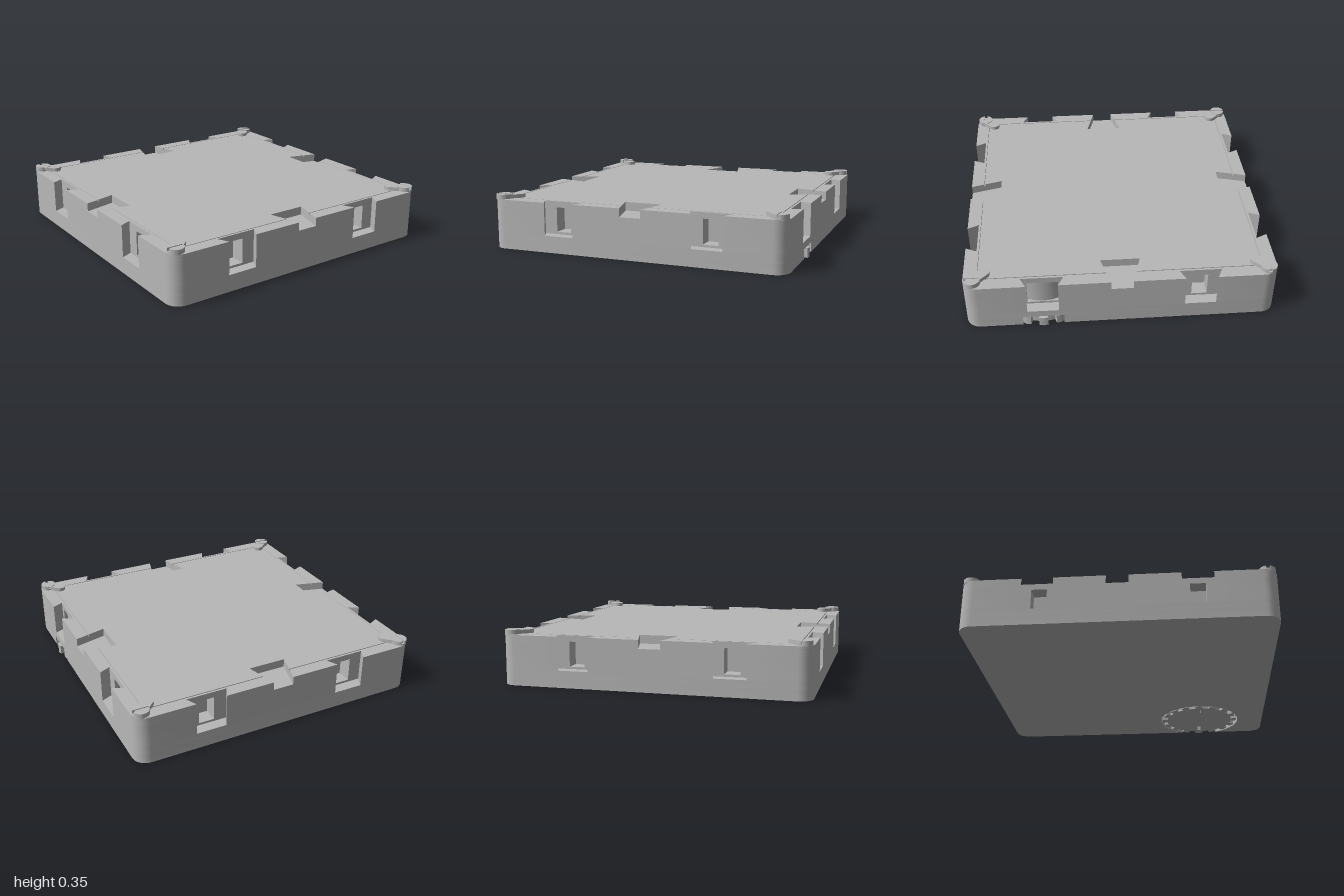
import * as THREE from 'three';
import { toCreasedNormals } from 'three/addons/utils/BufferGeometryUtils.js';

const S = 0.99;          // half width of the tile
const R = 0.09;          // corner radius
const CAP = { x: 0.72, y: -0.5 }; // battery cap centre in plan (plan y = -z)

const turn = ([x, y], k) => {
  for (let i = 0; i < k; i++) [x, y] = [-y, x];
  return [x, y];
};
const toShape = (pts) => new THREE.Shape(pts.map(([x, y]) => new THREE.Vector2(x, y)));

// Points (u along the side, d inward) of one dovetail socket, with an optional window pocket
function socket(u, { pocket, round }) {
  const pts = [[-0.1, 0], [-0.135, 0.073]];
  if (pocket && round) {
    // wide window with the convex battery drum behind it
    pts.push([-0.1, 0.073]);
    for (let i = 0; i <= 10; i++) {
      const a = -0.1 + 0.02 * i;
      pts.push([a, 0.078 + 0.22 - Math.sqrt(0.22 * 0.22 - a * a)]);
    }
    pts.push([0.1, 0.073]);
  } else if (pocket) {
    pts.push([-0.05, 0.073], [-0.05, 0.17], [0.05, 0.17], [0.05, 0.073]);
  }
  pts.push([0.135, 0.073], [0.1, 0]);
  return pts.map(([a, d]) => [u + a, d]);
}

// Arc where the battery cap breaks through the right side
function capBite() {
  const pts = [], a = 0.451;
  for (let i = 0; i <= 40; i++) {
    const t = -a - (2 * Math.PI - 2 * a) * i / 40;
    pts.push([CAP.y + 0.3 * Math.sin(t), S - CAP.x - 0.3 * Math.cos(t)]);
  }
  return pts;
}

function corner(k) {
  const pts = [];
  for (let i = 0; i <= 8; i++) {
    const t = -Math.PI / 2 + Math.PI / 2 * i / 8;
    pts.push(turn([S - R + R * Math.cos(t), -(S - R) + R * Math.sin(t)], k));
  }
  return pts;
}
const place = (pts, k) => pts.map(([u, d]) => turn([u, d - S], k));

// Complete plan outline of one layer
function outline({ sockets, pocket, mid, bite }) {
  const all = [];
  for (let k = 0; k < 4; k++) {
    const side = [];
    if (bite && k === 1) side.push(...capBite());
    if (sockets) side.push(...socket(-0.5, { pocket, round: k === 1 }));
    if (mid) side.push([-0.07, 0], [-0.127, 0.21], [0.127, 0.21], [0.07, 0]);
    if (sockets) side.push(...socket(0.5, { pocket }));
    all.push(...place(side, k), ...corner(k));
  }
  return toShape(all);
}

// One corner piece of the top rim
function rimPiece(k) {
  const e = 0.087, w = 0.07 + 0.057 * e / 0.21;
  return toShape([
    ...place([[w, e], [0.07, 0], ...socket(0.5, {})], k),
    ...corner(k),
    ...place([...socket(-0.5, {}), [-0.07, 0], [-w, e], [-(S - e), e]], k + 1),
  ]);
}

// Inset lid with the four middle sockets cut out
function lidShape() {
  const e = 0.093, w = 0.07 + 0.057 * e / 0.21, pts = [];
  for (let k = 0; k < 4; k++) {
    pts.push(...place([[-w, e], [-0.127, 0.21], [0.127, 0.21], [w, e], [S - e, e]], k));
  }
  return toShape(pts);
}

// Toothed battery cap
function capShape() {
  const pts = [], n = 16;
  for (let i = 0; i < n; i++) {
    for (const [f, r] of [[-0.26, 0.25], [-0.26, 0.285], [0, 0.29], [0.26, 0.285], [0.26, 0.25], [0.5, 0.25]]) {
      const t = (i + f) * 2 * Math.PI / n;
      pts.push([CAP.x + r * Math.cos(t), CAP.y + r * Math.sin(t)]);
    }
  }
  return toShape(pts);
}

export function createModel() {
  const model = new THREE.Group();
  model.name = 'squareTile';
  const grey = new THREE.MeshStandardMaterial({ color: 0xb8b8b8 });
  grey.name = 'grey plastic';

  const slab = (name, shape, y0, y1, parent = model) => {
    const geo = new THREE.ExtrudeGeometry(shape, { depth: y1 - y0, bevelEnabled: false, curveSegments: 16 });
    geo.rotateX(-Math.PI / 2);
    geo.translate(-0.01, y0, 0);
    const mesh = new THREE.Mesh(toCreasedNormals(geo, 0.5), grey);
    mesh.name = name;
    parent.add(mesh);
    return mesh;
  };

  // Body in horizontal layers
  slab('baseWithCapOpening', outline({ bite: true }), 0, 0.065);
  slab('floor', outline({}), 0.065, 0.11);
  slab('socketSills', outline({ sockets: true }), 0.11, 0.125);
  slab('windowWalls', outline({ sockets: true, pocket: true }), 0.125, 0.27);
  slab('windowHeads', outline({ sockets: true, pocket: true, mid: true }), 0.27, 0.285);
  slab('upperWalls', outline({ sockets: true, mid: true }), 0.285, 0.31);

  // Rim and lid, parted by a fine groove
  for (let k = 0; k < 4; k++) slab('rimCorner', rimPiece(k), 0.31, 0.325);
  slab('lid', lidShape(), 0.31, 0.325);

  // Battery cap with a coin slot underneath
  const slotted = capShape();
  slotted.holes.push(new THREE.Path([[-0.22, -0.013], [-0.22, 0.013], [0.22, 0.013], [0.22, -0.013]]
    .map(([x, y]) => new THREE.Vector2(CAP.x + x, CAP.y + y))));
  slab('batteryCapFace', slotted, 0.001, 0.03);
  slab('batteryCap', capShape(), 0.03, 0.064);

  // Corner latches: diagonal arm and slotted screw head
  for (let k = 0; k < 4; k++) {
    const latch = new THREE.Group();
    latch.name = 'cornerLatch';
    model.add(latch);
    const [cx, cy] = turn([0.93, -0.93], k);
    const [ix, iy] = turn([0.86, -0.86], k);
    const dir = Math.atan2(iy - cy, ix - cx);
    const arm = new THREE.Shape();
    arm.absarc(ix, iy, 0.037, dir - Math.PI / 2, dir + Math.PI / 2, false);
    arm.absarc(cx, cy, 0.037, dir + Math.PI / 2, dir + 1.5 * Math.PI, false);
    slab('latchArm', arm, 0.32, 0.35, latch);
    const base = new THREE.Shape();
    base.absarc(cx, cy, 0.052, 0, 2 * Math.PI, false);
    slab('screwBase', base, 0.32, 0.335, latch);
    // two half discs leave the driver slot between them
    const gap = 0.2;
    for (const half of [0, Math.PI]) {
      const a = half + (k % 2 ? 0 : -Math.PI / 2);
      const head = new THREE.Shape();
      head.absarc(cx, cy, 0.052, a + gap, a + Math.PI - gap, false);
      slab('screwHead', head, 0.335, 0.355, latch);
    }
  }
  return model;
}
